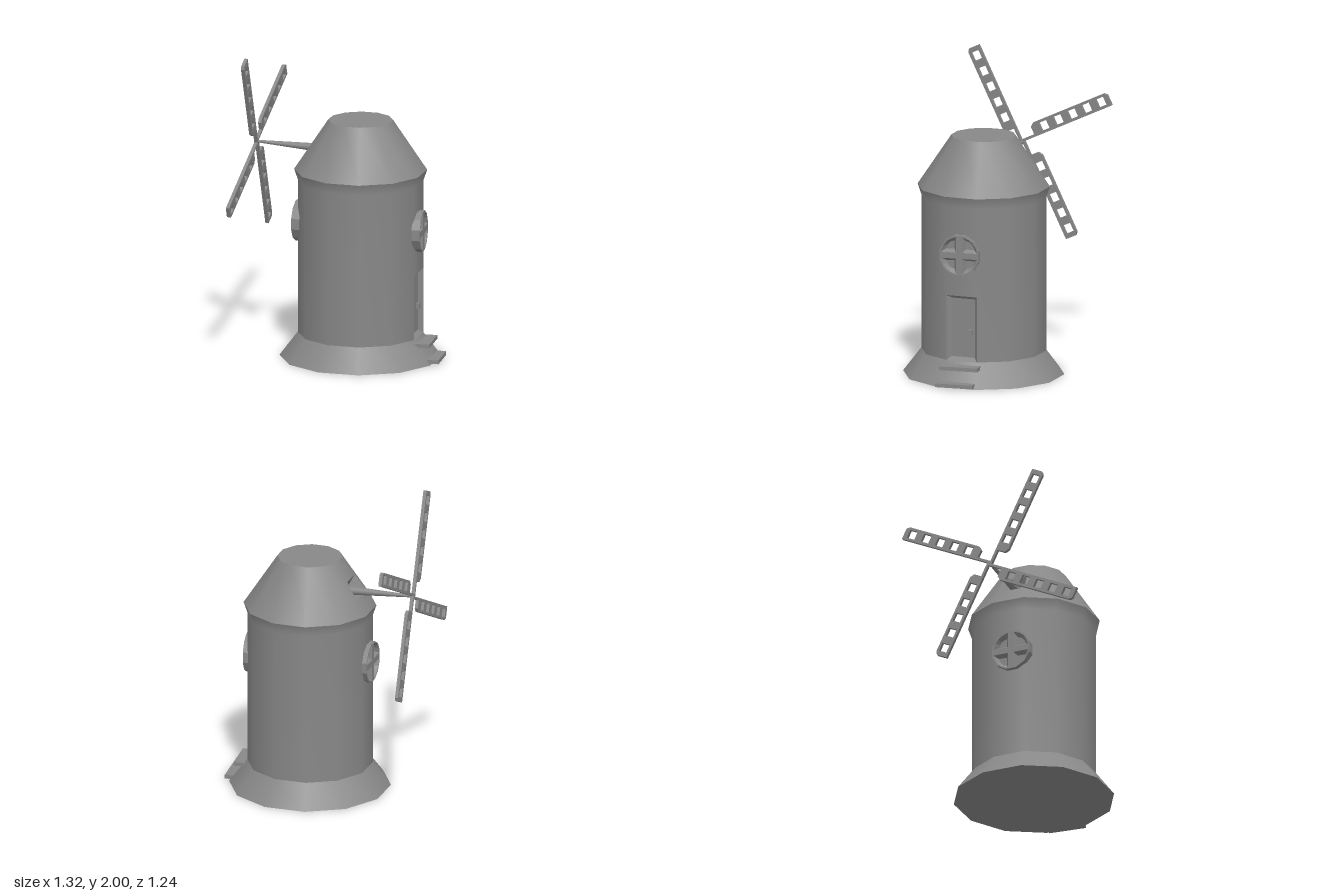
import * as THREE from 'three';

const mat = new THREE.MeshStandardMaterial({ color: 0x888888 });
const SIDES = 12, STEP = Math.PI * 2 / SIDES;
const START = THREE.MathUtils.degToRad(10);          // first corner of the tower polygon
const DOOR_FACE = 2, SHAFT_FACE = 8;                 // faces that carry recesses
const APOTHEM = Math.cos(STEP / 2), HALF = Math.tan(STEP / 2);

function add(parent, name, geo, x = 0, y = 0, z = 0) {
  const m = new THREE.Mesh(geo, mat);
  m.name = name;
  m.position.set(x, y, z);
  parent.add(m);
  return m;
}

// Group whose local +z points out of tower face k
function faceGroup(parent, name, k, y, z) {
  const g = new THREE.Group(), a = START + (k + 0.5) * STEP;
  g.name = name;
  g.rotation.y = a;
  g.position.set(Math.sin(a) * z, y, Math.cos(a) * z);
  parent.add(g);
  return g;
}

const toPoints = (pts) => pts.map(([x, y]) => new THREE.Vector2(x, y));

// n tower faces starting at face k, from a profile of [radius, height]
function band(parent, name, profile, k = 0, n = SIDES) {
  add(parent, name, new THREE.LatheGeometry(toPoints(profile), n, START + k * STEP, n * STEP));
}

// Sunken pocket: sloping walls from an outer loop to an inner loop, plus a floor
function recessGeometry(outer, inner, depth) {
  const p = [], n = outer.length;
  const o = (i) => [outer[i % n][0], outer[i % n][1], 0];
  const f = (i) => [inner[i % n][0], inner[i % n][1], -depth];
  for (let i = 0; i < n; i++) {
    p.push(...o(i), ...o(i + 1), ...f(i + 1), ...o(i), ...f(i + 1), ...f(i));
    if (i > 0 && i < n - 1) p.push(...f(0), ...f(i), ...f(i + 1));
  }
  const geo = new THREE.BufferGeometry();
  geo.setAttribute('position', new THREE.Float32BufferAttribute(p, 3));
  geo.computeVertexNormals();
  return geo;
}

// Round window with a cross and four sunken panes, facing the given angle
function addWindow(parent, x, y, z, angle) {
  const g = new THREE.Group();
  g.name = 'roundWindow';
  g.position.set(x, y, z);
  g.rotation.y = angle;
  parent.add(g);
  const rim = [];
  for (let i = 0; i < SIDES; i++) {
    const a = (i + 0.5) * STEP;
    rim.push([0.136 * Math.cos(a), 0.136 * Math.sin(a)]);
  }
  const shape = new THREE.Shape(toPoints(rim));
  const pane = [[0.02, 0.02], [0.123, 0.02], [0.108, 0.062], [0.088, 0.088], [0.062, 0.108], [0.02, 0.123]];
  const floor = pane.map(([px, py]) => [0.06 + (px - 0.06) * 0.55, 0.06 + (py - 0.06) * 0.55]);
  for (let q = 0; q < 4; q++) {
    const turn = ([px, py]) => [[px, py], [-py, px], [-px, -py], [py, -px]][q];
    shape.holes.push(new THREE.Path(toPoints(pane.map(turn))));
    add(g, 'windowPane', recessGeometry(pane.map(turn), floor.map(turn), 0.03));
  }
  add(g, 'windowFrame', new THREE.ExtrudeGeometry(shape, { depth: 0.055, bevelEnabled: false }), 0, 0, -0.055);
}

// Ladder-like sail, arm along +y, blade on the -x side
function sailGeometry() {
  const shape = new THREE.Shape(toPoints([
    [0, 0], [0, 0.69], [-0.075, 0.69], [-0.09, 0.67], [-0.09, 0.125],
    [-0.07, 0.1], [-0.016, 0.1], [-0.016, 0],
  ]));
  for (let i = 0; i < 5; i++) {
    const y = 0.19 + i * 0.11, h = 0.029;
    shape.holes.push(new THREE.Path(toPoints([[-0.017, y - h], [-0.074, y - h], [-0.074, y + h], [-0.017, y + h]])));
  }
  return new THREE.ExtrudeGeometry(shape, { depth: 0.022, bevelEnabled: false });
}

export function createModel() {
  const model = new THREE.Group();
  model.name = 'windmill';
  const tower = new THREE.Group();
  tower.name = 'tower';
  tower.position.set(0.11, 0, 0.058);
  model.add(tower);

  // Flared foot, and a wall with a door gap that curves out into the eaves
  const R = 0.406, eaves = [[R, 1.17], [0.43, 1.24]];
  band(tower, 'foot', [[0.524, 0], [R, 0.155]]);
  band(tower, 'wall', [[R, 0.155], ...eaves], DOOR_FACE + 1, SIDES - 1);
  band(tower, 'wallAboveDoor', [[R, 0.585], ...eaves], DOOR_FACE, 1);
  add(tower, 'underside', new THREE.CircleGeometry(0.524, SIDES, Math.PI / 2 - START).rotateX(Math.PI / 2));

  // Roof with a gap for the shaft
  const yLow = 1.341, yHigh = 1.45;
  const roofR = (y) => 0.43 + (0.21 - 0.43) * (y - 1.24) / 0.33;
  band(tower, 'roof', [[0.43, 1.24], [0.21, 1.57]], SHAFT_FACE + 1, SIDES - 1);
  band(tower, 'roofBelowShaft', [[0.43, 1.24], [roofR(yLow), yLow]], SHAFT_FACE, 1);
  band(tower, 'roofAboveShaft', [[roofR(yHigh), yHigh], [0.21, 1.57]], SHAFT_FACE, 1);
  add(tower, 'roofTop', new THREE.CircleGeometry(0.21, SIDES, START - Math.PI / 2).rotateX(-Math.PI / 2), 0, 1.57, 0);

  // Sunken opening around the shaft
  const aLow = roofR(yLow) * APOTHEM, aHigh = roofR(yHigh) * APOTHEM;
  const slope = Math.atan2(aLow - aHigh, yHigh - yLow);
  const h = Math.hypot(aLow - aHigh, yHigh - yLow) / 2;
  const opening = [[-aLow * HALF, -h], [aLow * HALF, -h], [aHigh * HALF, h], [-aHigh * HALF, h]];
  const shaftSeat = faceGroup(tower, 'shaftSeat', SHAFT_FACE, (yLow + yHigh) / 2, (aLow + aHigh) / 2);
  add(shaftSeat, 'shaftOpening',
    recessGeometry(opening, opening.map(([x, y]) => [x * 0.5, y * 0.5]), 0.05)).rotation.x = -slope;

  // Sunken door with a knob
  const door = faceGroup(tower, 'door', DOOR_FACE, 0, R * APOTHEM);
  const w = R * APOTHEM * HALF;
  add(door, 'doorPanel', recessGeometry(
    [[-w, 0.155], [w, 0.155], [w, 0.585], [-w, 0.585]],
    [[-0.08, 0.178], [0.08, 0.178], [0.08, 0.565], [-0.08, 0.565]], 0.03));
  add(door, 'doorKnob', new THREE.BoxGeometry(0.03, 0.035, 0.02), 0.05, 0.345, -0.02);

  // Windows
  addWindow(model, 0.535, 0.86, 0.1, Math.PI / 2);
  addWindow(model, -0.313, 0.88, 0.045, -Math.PI / 2 - 0.087);

  // Steps
  add(model, 'upperStep', new THREE.BoxGeometry(0.1, 0.025, 0.255), 0.545, 0.122, 0.088);
  add(model, 'lowerStep', new THREE.BoxGeometry(0.09, 0.025, 0.25), 0.612, 0.022, 0.1);

  // Sail wheel: local +z runs along the shaft into the roof
  const wheel = new THREE.Group();
  wheel.name = 'sailWheel';
  wheel.rotation.set(0.03, Math.PI / 2 - 0.09, 0, 'YXZ');
  wheel.position.set(-0.588, 1.377, 0);
  model.add(wheel);
  const shaft = new THREE.CylinderGeometry(0.03, 0.008, 0.47, 12).rotateX(Math.PI / 2);
  add(wheel, 'shaft', shaft, 0, 0, 0.23);
  const sail = sailGeometry();
  for (let i = 0; i < 4; i++) {
    add(wheel, 'sail', sail, 0, 0, -0.011).rotation.z = 0.443 + i * Math.PI / 2;
  }
  return model;
}
